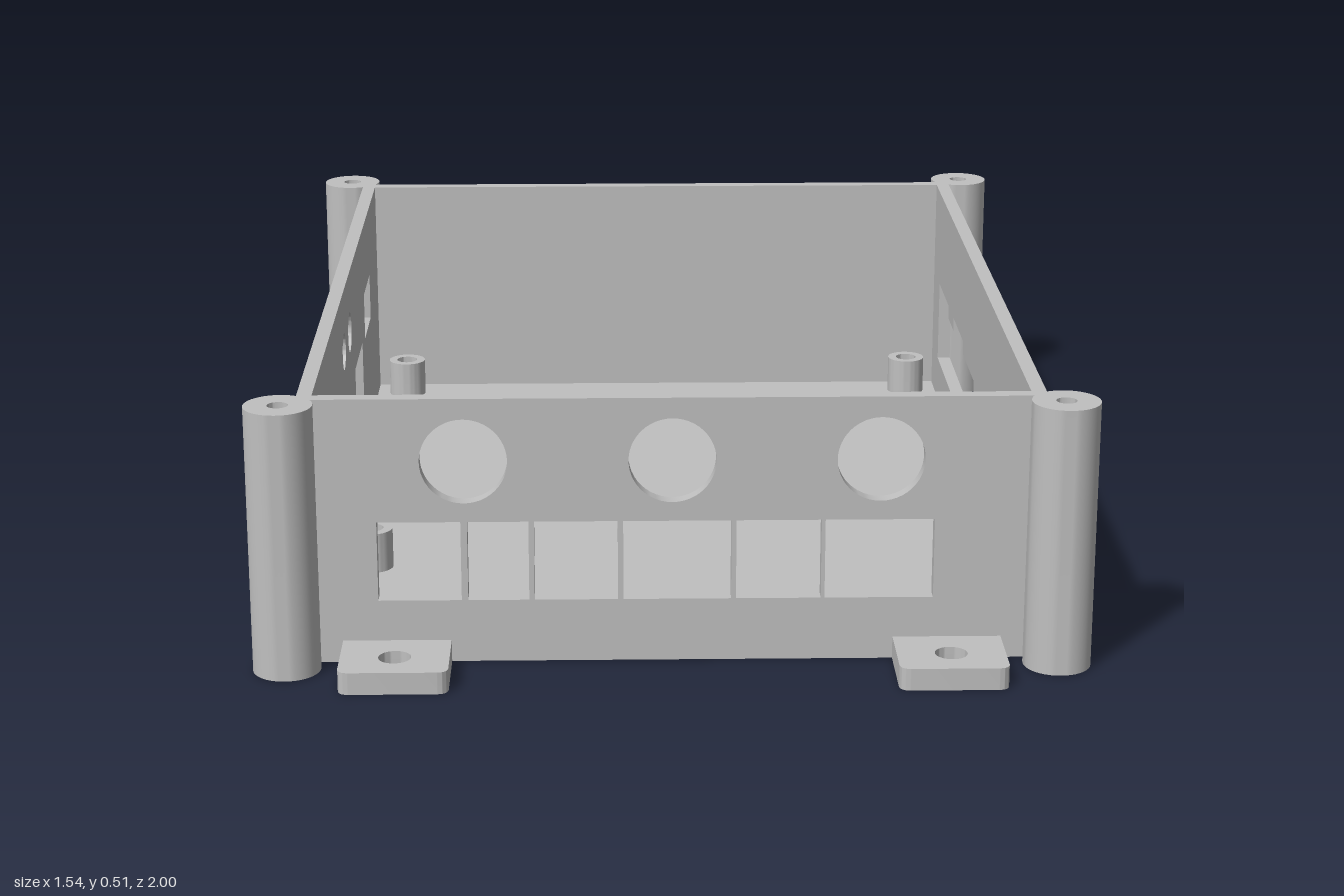
import * as THREE from 'three';
import { toCreasedNormals } from 'three/addons/utils/BufferGeometryUtils.js';

const W = 0.68, D = 0.842, H = 0.507; // outer half width, half depth, height
const T = 0.028, FLOOR = 0.03;        // wall and floor thickness

const rectPath = (x0, y0, x1, y1, Kind = THREE.Path) => new Kind([
  [x0, y0], [x1, y0], [x1, y1], [x0, y1],
].map(([x, y]) => new THREE.Vector2(x, y)));

const circlePath = (x, y, r) => new THREE.Path().absarc(x, y, r, 0, Math.PI * 2, true);

const hexPath = (x, y, r) => new THREE.Path(Array.from({ length: 6 }, (_, i) =>
  new THREE.Vector2(x + r * Math.cos(i * Math.PI / 3), y + r * Math.sin(i * Math.PI / 3))));

// Plate extruded along z, with holes cut through it
function plate(shape, holes, depth) {
  shape.holes.push(...holes);
  const g = new THREE.ExtrudeGeometry(shape, { depth, bevelEnabled: false, curveSegments: 24 });
  return toCreasedNormals(g, 0.6);
}

export function createModel() {
  const group = new THREE.Group();
  const casing = new THREE.MeshStandardMaterial({ color: 0xc0c0c0 });
  casing.name = 'casing grey';

  function add(name, geometry, x = 0, y = 0, z = 0) {
    const mesh = new THREE.Mesh(geometry, casing);
    mesh.name = name;
    mesh.position.set(x, y, z);
    group.add(mesh);
    return mesh;
  }

  // Floor with hexagonal nut pockets under the standoffs
  const standoffs = [[-0.583, -0.75], [0.583, -0.75], [-0.583, 0.415], [0.583, 0.415]];
  add('floor', plate(
    rectPath(-W + T, -D + T, W - T, D - T, THREE.Shape),
    standoffs.map(([x, z]) => hexPath(x, -z, 0.034)), FLOOR,
  ).rotateX(-Math.PI / 2));

  // Hollow standoffs for the circuit board
  for (const [x, z] of standoffs) {
    const ring = new THREE.Shape().absarc(0, 0, 0.041, 0, Math.PI * 2);
    add('standoff', plate(ring, [circlePath(0, 0, 0.023)], 0.08).rotateX(-Math.PI / 2), x, FLOOR, z);
  }

  // Front wall: row of ports below three round openings
  const ports = [[-0.54, -0.387], [-0.375, -0.263], [-0.253, -0.1],
    [-0.09, 0.108], [0.117, 0.273], [0.28, 0.48]];
  const frontHoles = [
    ...ports.map(([a, b]) => rectPath(a, 0.12, b, 0.272)),
    ...[-0.38, 0, 0.38].map((x) => circlePath(x, 0.388, 0.08)),
  ];
  const endWall = () => rectPath(-W + T, 0, W - T, H, THREE.Shape);
  add('frontWall', plate(endWall(), frontHoles, T), 0, 0, D - T);
  add('backWall', plate(endWall(), [], T), 0, 0, -D);

  // Side walls are drawn with z across and y up, then turned
  const sideWall = (name, outerX, holes, depth) => add(name,
    plate(rectPath(-D, 0, D, H, THREE.Shape), holes, depth).rotateY(-Math.PI / 2), outerX);

  // Left wall: one port and a long stepped opening
  const stepped = new THREE.Path([
    [-0.02, 0.12], [-0.02, 0.272], [-0.22, 0.272], [-0.22, 0.3], [-0.405, 0.3], [-0.405, 0.272],
    [-0.508, 0.272], [-0.508, 0.3], [-0.697, 0.3], [-0.697, 0.123], [-0.22, 0.123], [-0.22, 0.12],
  ].map(([z, y]) => new THREE.Vector2(z, y)));
  sideWall('leftWall', W, [rectPath(0.065, 0.12, 0.262, 0.272), stepped], T);

  // Right wall in two layers, so round recesses can stop halfway
  const rightHoles = () => [
    rectPath(-0.335, 0.12, -0.13, 0.272),
    rectPath(-0.58, 0.26, -0.41, 0.36),
    circlePath(-0.025, 0.385, 0.042),
  ];
  sideWall('rightWallOuter', -W + T / 2, [...rightHoles(), circlePath(0.125, 0.38, 0.07)], T / 2);
  sideWall('rightWallInner', -W + T,
    [...rightHoles(), circlePath(0.12, 0.385, 0.038), circlePath(0.205, 0.21, 0.063)], T / 2);

  // Round corner posts with blind screw holes
  const profile = [[0, 0], [0.0625, 0], [0.0625, H], [0.019, H], [0.019, H - 0.2], [0, H - 0.2]]
    .map(([r, y]) => new THREE.Vector2(r, y));
  const post = toCreasedNormals(new THREE.LatheGeometry(profile, 40), 0.6);

  // Mounting tab with rounded outer corners, reaching towards +z
  const w = 0.1, len = 1 - D, r = 0.022;
  const tabShape = new THREE.Shape()
    .moveTo(-w, 0).lineTo(-w, -len + r).quadraticCurveTo(-w, -len, -w + r, -len)
    .lineTo(w - r, -len).quadraticCurveTo(w, -len, w, -len + r).lineTo(w, 0);
  const tab = plate(tabShape, [circlePath(0, -0.083, 0.03)], 0.042).rotateX(-Math.PI / 2);

  for (const sx of [-1, 1]) {
    for (const sz of [-1, 1]) {
      add('cornerPost', post, sx * 0.708, 0, sz * 0.873);
      add('mountingTab', tab, sx * 0.507, 0, sz * D).rotation.y = sz > 0 ? 0 : Math.PI;
    }
  }
  return group;
}
